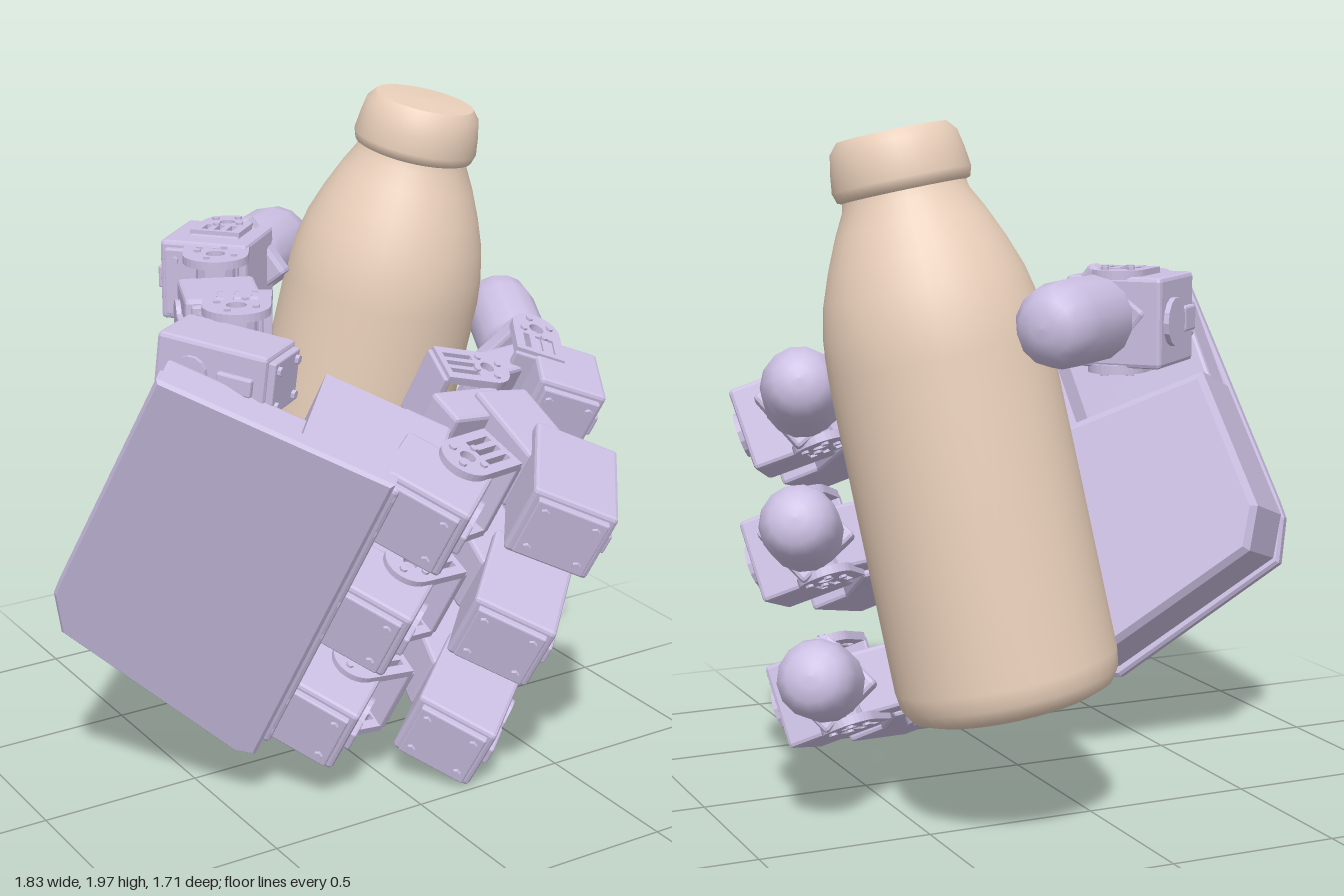
import * as THREE from 'three';
import { RoundedBoxGeometry } from 'three/addons/geometries/RoundedBoxGeometry.js';

const handMat = new THREE.MeshStandardMaterial({ color: 0xcbbfe2, flatShading: true });
const tipMat = new THREE.MeshStandardMaterial({ color: 0xcbbfe2 });
const bottleMat = new THREE.MeshStandardMaterial({ color: 0xead0bb });
const V3 = (x, y, z) => new THREE.Vector3(x, y, z);

function add(parent, name, geo, pos = [0, 0, 0], rot = [0, 0, 0], mat = handMat) {
  const m = new THREE.Mesh(geo, mat);
  m.name = name;
  m.position.set(...pos);
  m.rotation.set(...rot);
  parent.add(m);
  return m;
}

const rbox = (w, h, d, r = 0.012) => new RoundedBoxGeometry(w, h, d, 1, r);
const lathe = (pts, sides) => new THREE.LatheGeometry(pts.map(p => new THREE.Vector2(...p)), sides);

// Flat polygon pulled along +z, with a small bevel
function slab(points, depth, bevel = 0.01) {
  const s = new THREE.Shape(points.map(p => new THREE.Vector2(...p)));
  const g = new THREE.ExtrudeGeometry(s, {
    depth: depth - 2 * bevel, bevelSize: bevel, bevelThickness: bevel, bevelOffset: -bevel, bevelSegments: 1,
  });
  return g.translate(0, 0, bevel);
}

// Round-ended cheek plate with slots and a pivot hole, lying in x-z, long in z
function cheekGeometry(length, r, t) {
  const s = new THREE.Shape();
  s.absarc(0, 0, r, Math.PI, 0, true);
  s.lineTo(r, -length);
  s.lineTo(-r, -length);
  s.closePath();
  const hole = new THREE.Path();
  hole.absarc(0, 0, r * 0.3, 0, Math.PI * 2);
  s.holes.push(hole);
  for (const x of [-0.5, 0, 0.5]) {
    const slot = new THREE.Path();
    const a = x * r - 0.01, b = x * r + 0.01, y0 = -length + 0.02, y1 = -r * 0.55;
    slot.moveTo(a, y0); slot.lineTo(b, y0); slot.lineTo(b, y1); slot.lineTo(a, y1);
    slot.closePath();
    s.holes.push(slot);
  }
  const g = new THREE.ExtrudeGeometry(s, { depth: t, bevelEnabled: false, curveSegments: 8 });
  return g.translate(0, 0, -t / 2).rotateX(-Math.PI / 2);
}

// Joint: two slotted cheeks on a spindle; yaw turns it about the hinge axis (y)
function joint(parent, name, pos, yaw, height = 0.25, r = 0.075, length = 0.16) {
  const g = new THREE.Group();
  g.name = name;
  g.position.set(...pos);
  g.rotation.y = yaw;
  for (const s of [-1, 1]) {
    add(g, 'jointCheek', cheekGeometry(length, r, 0.025), [0, s * height / 2, 0]);
    add(g, 'jointHorn', new THREE.CylinderGeometry(r * 0.62, r * 0.62, 0.02, 12), [0, s * (height / 2 - 0.02), 0]);
    for (let k = 0; k < 4; k++) {
      const a = k * Math.PI / 2 + 0.4;
      add(g, 'jointScrew', new THREE.CylinderGeometry(0.012, 0.012, 0.012, 6),
        [Math.cos(a) * r * 0.62, s * (height / 2 + 0.014), Math.sin(a) * r * 0.62]);
    }
  }
  add(g, 'jointSpindle', new THREE.CylinderGeometry(r * 0.6, r * 0.6, height - 0.04, 12));
  add(g, 'jointWeb', rbox(r * 2, height, 0.025, 0.005), [0, 0, length]);
  parent.add(g);
}

// Motor: rounded case with side cap, end plate and screw bosses
function motor(parent, name, pos, size, yaw = 0, pitch = 0) {
  const [w, h, d] = size;
  const g = new THREE.Group();
  g.name = name;
  g.position.set(...pos);
  g.rotation.set(pitch, yaw, 0, 'YXZ');
  add(g, 'motorCase', rbox(w, h, d));
  add(g, 'motorEndPlate', rbox(w * 0.84, h * 0.84, 0.03, 0.005), [0, 0, -d / 2 - 0.006]);
  add(g, 'motorCap', new THREE.CylinderGeometry(h * 0.27, h * 0.27, 0.03, 14), [w / 2, 0, d * 0.16], [0, 0, Math.PI / 2]);
  add(g, 'motorCable', rbox(0.035, h * 0.28, d * 0.32, 0.006), [w / 2, 0, -d * 0.24]);
  for (const sx of [-1, 1]) for (const sy of [-1, 1]) {
    add(g, 'motorScrew', new THREE.CylinderGeometry(0.014, 0.014, 0.016, 6),
      [sx * w * 0.3, sy * h * 0.28, -d / 2 - 0.024], [Math.PI / 2, 0, 0]);
  }
  parent.add(g);
}

// Soft blunt fingertip with a collar, from a to b
function fingertip(parent, name, a, b, r) {
  const dir = b.clone().sub(a), len = dir.length();
  const g = new THREE.Group();
  g.name = name;
  g.position.copy(a);
  g.quaternion.setFromUnitVectors(V3(0, 1, 0), dir.normalize());
  add(g, 'softTip', lathe([[0, 0], [r * 0.85, 0], [r, 0.04], [r, len * 0.66], [r * 0.9, len * 0.84],
    [r * 0.65, len * 0.95], [r * 0.3, len * 0.99], [0, len]], 14), undefined, undefined, tipMat);
  add(g, 'tipCollar', rbox(r * 1.8, 0.06, r * 1.8));
  parent.add(g);
}

// Curled finger: hinge axis y, reaches along +z, origin at the knuckle
function finger(pos, curl, tilt, reach) {
  const f = new THREE.Group();
  f.name = 'finger';
  f.position.set(...pos);
  f.rotation.set(tilt, curl, 0);
  joint(f, 'knuckle', [0, 0, 0], 0.6, 0.25, 0.08);
  add(f, 'innerBracket', rbox(0.13, 0.2, 0.26), [0, 0.04, 0.43], [0, 0.75, 0]);
  add(f, 'middleBlock', rbox(0.2, 0.2, 0.3), [0.16, 0.02, 0.42], [0, -0.75, 0]);
  motor(f, 'middleMotor', [0.325, 0, 0.22], [0.26, 0.23, 0.36], -0.1);
  joint(f, 'middleJoint', [0, 0.04, 0.61], -2.1, 0.22, 0.075);
  add(f, 'outerBlock', rbox(0.11, 0.19, 0.26), [0.07, 0.02, 0.75], [0, 0.6, 0]);
  motor(f, 'outerMotor', [0.24, 0, 0.75], [0.22, 0.25, 0.24], -0.25);
  joint(f, 'outerJoint', [0.11, 0, 0.87], 2.9, 0.24, 0.08, 0.14);
  fingertip(f, 'fingertip', V3(0.1, 0, 0.92), V3(-0.03, 0, reach), 0.112);
  return f;
}

function buildHand() {
  const hand = new THREE.Group();
  hand.name = 'hand';
  // Palm frame: x across the palm, y down its side, z out of its inner face
  const u = V3(0.73, -0.4, 0.557).normalize();
  const n = u.clone().cross(V3(-0.126, -0.883, -0.45)).normalize();
  const v = n.clone().cross(u);
  hand.quaternion.setFromRotationMatrix(new THREE.Matrix4().makeBasis(u, v, n));
  hand.position.set(-0.79, 1.47, 0.38);

  add(hand, 'backPlate', slab([[0, 0], [0.7, 0], [0.7, 1.13], [0.64, 1.15], [0.03, 0.99], [-0.035, 0.86], [-0.035, 0.8]], 0.06));
  add(hand, 'palmBody', slab([[0.42, 0.03], [0.68, 0.03], [0.68, 1.1], [0.63, 1.12], [0.04, 0.97], [-0.03, 0.85], [-0.01, 0.4], [0.42, 0.4]], 0.41, 0.02));
  add(hand, 'palmRim', rbox(0.05, 1.06, 0.1), [0.7, 0.58, 0.1]);
  add(hand, 'thumbMount', rbox(0.43, 0.34, 0.22), [0.215, 0.26, 0.13]);

  // Three fingers with their base motors and mounts
  for (const [y, curl, tilt, reach] of [[0.15, 0, -0.08, 1.24], [0.57, 0.13, -0.02, 1.19], [0.99, 0.22, -0.02, 1.18]]) {
    motor(hand, 'baseMotor', [0.81, y, 0.18], [0.27, 0.24, 0.22], 0.15);
    add(hand, 'baseMount', rbox(0.15, 0.2, 0.2), [0.74, y + 0.02, 0.36]);
    hand.add(finger([0.87, y, 0.27], curl, tilt, reach));
  }
  return hand;
}

function buildThumb() {
  const t = new THREE.Group();
  t.name = 'thumb';
  motor(t, 'thumbBaseMotor', [-0.46, 1.39, 0.16], [0.2, 0.19, 0.34], 0.62 + Math.PI, -0.12);
  joint(t, 'thumbBaseJoint', [-0.34, 1.41, 0.02], 2.6, 0.19, 0.1);
  motor(t, 'thumbMiddleMotor', [-0.29, 1.42, -0.17], [0.23, 0.19, 0.24], 2.75);
  joint(t, 'thumbMiddleJoint', [-0.21, 1.45, -0.34], 2.6, 0.21, 0.1);
  motor(t, 'thumbOuterMotor', [-0.1, 1.45, -0.53], [0.28, 0.25, 0.27], 2.3);
  joint(t, 'thumbOuterJoint', [-0.04, 1.45, -0.57], -0.85, 0.26, 0.08, 0.12);
  fingertip(t, 'thumbTip', V3(0.01, 1.46, -0.56), V3(0.29, 1.46, -0.78), 0.12);
  return t;
}

function buildBottle() {
  const bottle = new THREE.Group();
  bottle.name = 'bottle';
  const base = V3(0.26, 0.385, -0.535), axis = V3(0.525, 1.985, -0.305).sub(base).normalize();
  bottle.position.copy(base);
  bottle.quaternion.setFromUnitVectors(V3(0, 1, 0), axis);
  const turned = (name, pts) => add(bottle, name, lathe(pts, 36), undefined, undefined, bottleMat);
  turned('bottleBase', [[0, 0], [0.25, 0]]);
  turned('bottleBody', [[0.25, 0], [0.288, 0.015], [0.31, 0.05], [0.317, 0.1], [0.315, 0.6], [0.313, 1.0], [0.303, 1.1],
    [0.283, 1.19], [0.25, 1.28], [0.21, 1.37], [0.178, 1.43], [0.17, 1.47]]);
  turned('bottleCap', [[0.165, 1.45], [0.186, 1.457], [0.195, 1.485], [0.188, 1.54], [0.178, 1.59], [0.155, 1.617]]);
  turned('capTop', [[0.155, 1.617], [0, 1.624]]);
  return bottle;
}

export function createModel() {
  const model = new THREE.Group();
  model.name = 'robotHandWithBottle';
  model.add(buildHand(), buildThumb(), buildBottle());
  return model;
}
